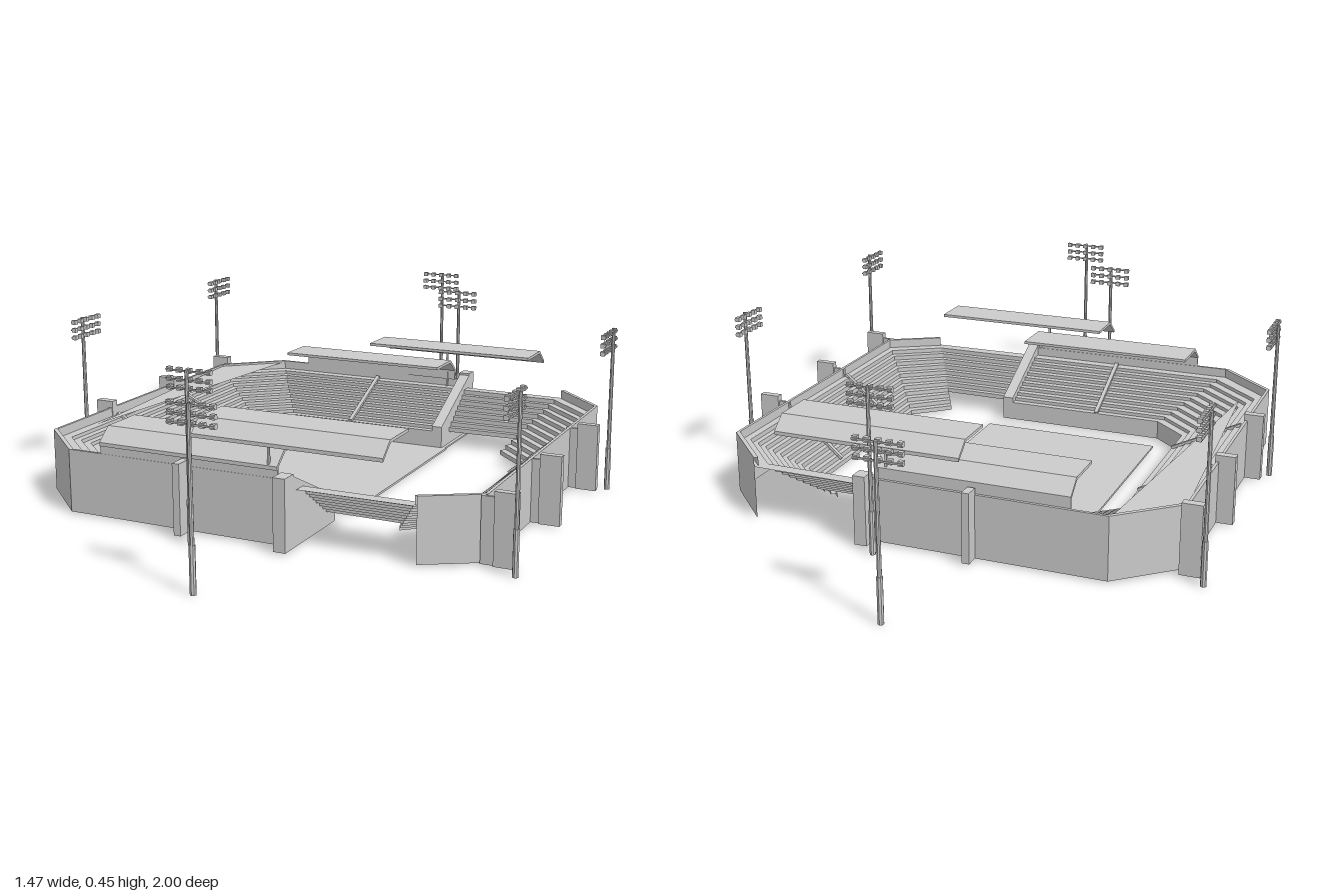
import * as THREE from 'three';

const grey = new THREE.MeshStandardMaterial({ color: 0xcccccc, flatShading: true });
const sheet = new THREE.MeshStandardMaterial({ color: 0xcccccc, flatShading: true, side: THREE.DoubleSide });

function add(parent, name, geo, x = 0, y = 0, z = 0, mat = grey) {
  const m = new THREE.Mesh(geo, mat);
  m.name = name;
  m.position.set(x, y, z);
  parent.add(m);
  return m;
}

// box given by its min and max corners
function block(parent, name, x0, x1, y0, y1, z0, z1) {
  return add(parent, name, new THREE.BoxGeometry(x1 - x0, y1 - y0, z1 - z0),
    (x0 + x1) / 2, (y0 + y1) / 2, (z0 + z1) / 2);
}

// strips of quads joining neighbouring [path, y] rows
function ribbon(parent, name, rows) {
  const pos = [];
  for (let r = 0; r + 1 < rows.length; r++) {
    const [A, ya] = rows[r], [B, yb] = rows[r + 1];
    for (let i = 0; i + 1 < A.length; i++) {
      const a = [A[i][0], ya, A[i][1]], b = [A[i + 1][0], ya, A[i + 1][1]];
      const c = [B[i + 1][0], yb, B[i + 1][1]], d = [B[i][0], yb, B[i][1]];
      pos.push(...a, ...b, ...c, ...a, ...c, ...d);
    }
  }
  const g = new THREE.BufferGeometry();
  g.setAttribute('position', new THREE.Float32BufferAttribute(pos, 3));
  g.computeVertexNormals();
  add(parent, name, g, 0, 0, 0, sheet);
}

const mix = (P, Q, t) => P.map((p, i) => [p[0] + (Q[i][0] - p[0]) * t, p[1] + (Q[i][1] - p[1]) * t]);

// stepped rows from y0 up to the walkway, between an inner and an outer path
function terrace(parent, name, inner, outer, y0, count, first = 0) {
  const rows = [], rise = (0.152 - y0) / count;
  for (let i = first; i < count; i++) {
    const p = mix(inner, outer, (i / count) * 0.92);
    rows.push([p, y0 + i * rise], [p, y0 + (i + 1) * rise]);
  }
  rows.push([outer, 0.152]);
  ribbon(parent, name, rows);
}

// side profile in (z, y), extruded along x
function sideProfile(parent, name, x0, x1, pts) {
  const s = new THREE.Shape(pts.map(([z, y]) => new THREE.Vector2(-z, y)));
  const g = new THREE.ExtrudeGeometry(s, { depth: x1 - x0, bevelEnabled: false });
  g.rotateY(Math.PI / 2);
  add(parent, name, g, x0);
}

// thin sloping strip from the field edge to the back of the stand
function aisle(parent, x0, z0, x1, z1, y0 = 0.062) {
  const a = new THREE.Vector3(x0, y0, z0), b = new THREE.Vector3(x1, 0.16, z1);
  const m = add(parent, 'aisle', new THREE.BoxGeometry(0.012, 0.008, a.distanceTo(b)));
  m.position.copy(a).lerp(b, 0.5);
  m.lookAt(b);
}

// floodlight mast, its lamps pointing along local +z
function mast(parent, x, z, turn) {
  const g = new THREE.Group();
  g.name = 'floodlightMast';
  add(g, 'mastBase', new THREE.CylinderGeometry(0.008, 0.008, 0.12, 8), 0, 0.06, 0);
  add(g, 'mastPole', new THREE.CylinderGeometry(0.005, 0.006, 0.33, 8), 0, 0.285, 0);
  for (const y of [0.4, 0.422, 0.445]) {
    add(g, 'lampBar', new THREE.BoxGeometry(0.125, 0.004, 0.004), 0, y, 0.006);
    for (let i = -2; i <= 2; i++) {
      add(g, 'lamp', new THREE.BoxGeometry(0.013, 0.012, 0.012), i * 0.028, y, 0.013);
    }
  }
  g.position.set(x, 0, z);
  g.rotation.y = turn;
  parent.add(g);
}

export function createModel() {
  const root = new THREE.Group();
  root.name = 'stadium';

  // plan outlines, clockwise seen from above
  const innerA = [[0.15, 0.39], [-0.35, 0.39], [-0.45, 0.3], [-0.45, -0.28], [-0.35, -0.365], [0.15, -0.365]];
  const outerA = [[0.16, 0.625], [-0.51, 0.625], [-0.67, 0.475], [-0.67, -0.46], [-0.51, -0.602], [0.16, -0.602]];
  const innerB = [[0.15, -0.375], [0.345, -0.385], [0.445, -0.285], [0.445, 0.305], [0.345, 0.395], [0.15, 0.39]];
  const outerB = [[0.16, -0.592], [0.48, -0.587], [0.627, -0.438], [0.627, 0.52], [0.48, 0.607], [0.16, 0.612]];

  // playing field and floor under the rear stand
  block(root, 'field', -0.36, 0.175, 0.004, 0.01, -0.37, 0.31);
  block(root, 'rearFloor', -0.36, 0.17, 0.004, 0.009, -0.6, -0.37);

  // seating rows; those bridging the two gaps lack the lowest rows
  terrace(root, 'mainSeating', innerA, outerA, 0.05, 10);
  ribbon(root, 'mainFieldWall', [[innerA, 0.005], [innerA, 0.05]]);
  terrace(root, 'eastSeating', innerB.slice(1, 5), outerB.slice(1, 5), 0.006, 11);
  terrace(root, 'rearGapSeating', innerB.slice(0, 2), outerB.slice(0, 2), 0.006, 11, 3);
  terrace(root, 'frontGapSeating', innerB.slice(4), outerB.slice(4), 0.006, 11, 3);

  // outer walls with a narrow rim, leaving a gap at front and back
  for (const [name, path] of [['mainOuterWall', outerA], ['eastOuterWall', outerB.slice(1, 5)]]) {
    const inset = path.map(([x, z]) => [x - Math.sign(x) * (Math.abs(x) > 0.2 ? 0.008 : 0), z - Math.sign(z) * 0.008]);
    ribbon(root, name, [[path, 0.005], [path, 0.178], [inset, 0.178], [inset, 0.15]]);
  }

  // flat deck in the rear corner
  const deck = new THREE.Shape([[-0.51, 0.597], [-0.665, 0.46], [-0.605, -0.36]].map(p => new THREE.Vector2(...p)));
  add(root, 'cornerDeck', new THREE.ShapeGeometry(deck).rotateX(-Math.PI / 2), 0, 0.172, 0, sheet);

  // sloping parapets closing the ends of the main seating
  sideProfile(root, 'frontParapet', 0.128, 0.16, [[0.39, 0.005], [0.625, 0.005], [0.625, 0.19], [0.39, 0.075]]);
  sideProfile(root, 'rearParapet', 0.128, 0.16, [[-0.365, 0.005], [-0.365, 0.075], [-0.6, 0.19], [-0.6, 0.005]]);

  // aisles up the stands
  aisle(root, -0.15, 0.39, -0.15, 0.6);
  aisle(root, -0.15, -0.365, -0.15, -0.58);
  for (const z of [-0.15, 0.19]) aisle(root, -0.45, z, -0.65, z);
  for (const z of [-0.16, 0.18]) aisle(root, 0.45, z, 0.61, z, 0.025);

  // buttresses outside the wall
  for (const [x, w] of [[-0.15, 0.02], [0.143, 0.034]]) {
    block(root, 'frontButtress', x - w / 2, x + w / 2, 0.005, 0.196, 0.625, 0.673);
    block(root, 'rearButtress', x - w / 2, x + w / 2, 0.005, 0.196, -0.64, -0.6);
  }
  for (const z of [-0.49, -0.15, 0.19]) block(root, 'westButtress', -0.715, -0.66, 0.005, 0.197, z - 0.012, z + 0.012);
  for (const z of [-0.16, 0.18, 0.53]) {
    block(root, 'eastButtress', 0.65, 0.708, 0.005, 0.194, z - 0.01, z + 0.01);
    block(root, 'eastButtressTie', 0.615, 0.65, 0.005, 0.178, z - 0.004, z + 0.004);
  }

  // two overlapping roofs per long stand: flat sheet with a bent-down rear edge and a post
  const roofs = [
    ['frontLowerRoof', 1, -0.41, 0.115, 0.245, 0.46], ['frontUpperRoof', 1, -0.13, 0.4, 0.302, 0.47],
    ['rearLowerRoof', -1, -0.41, 0.115, 0.245, 0.435], ['rearUpperRoof', -1, -0.115, 0.408, 0.302, 0.437],
  ];
  for (const [name, s, x0, x1, y, z] of roofs) {
    const e = s > 0 ? 0.627 : 0.595;
    const pts = [[z, y], [e - 0.042, y], [e, y - 0.036], [e, y - 0.046], [e - 0.045, y - 0.008], [z, y - 0.008]];
    sideProfile(root, name, x0, x1, pts.map(([a, b]) => [a * s, b]));
    block(root, 'roofPost', 0.086, 0.092, 0.14, y - 0.036, s * (e - 0.006) - 0.003, s * (e - 0.006) + 0.003);
  }
  // panels below the lower roofs
  block(root, 'frontRoofPanel', -0.41, 0.115, 0.175, 0.208, 0.619, 0.624);
  block(root, 'rearRoofPanel', -0.41, 0.115, 0.175, 0.208, -0.594, -0.589);

  // floodlights around the ground
  const h = Math.PI / 2;
  for (const [x, z, t] of [
    [-0.09, -0.991, 0], [0.095, -0.666, 0], [-0.09, 0.705, Math.PI], [0.09, 0.991, Math.PI],
    [-0.73, -0.53, h], [-0.73, 0.235, h], [0.727, -0.2, -h], [0.717, 0.57, -h],
  ]) mast(root, x, z, t);

  return root;
}
